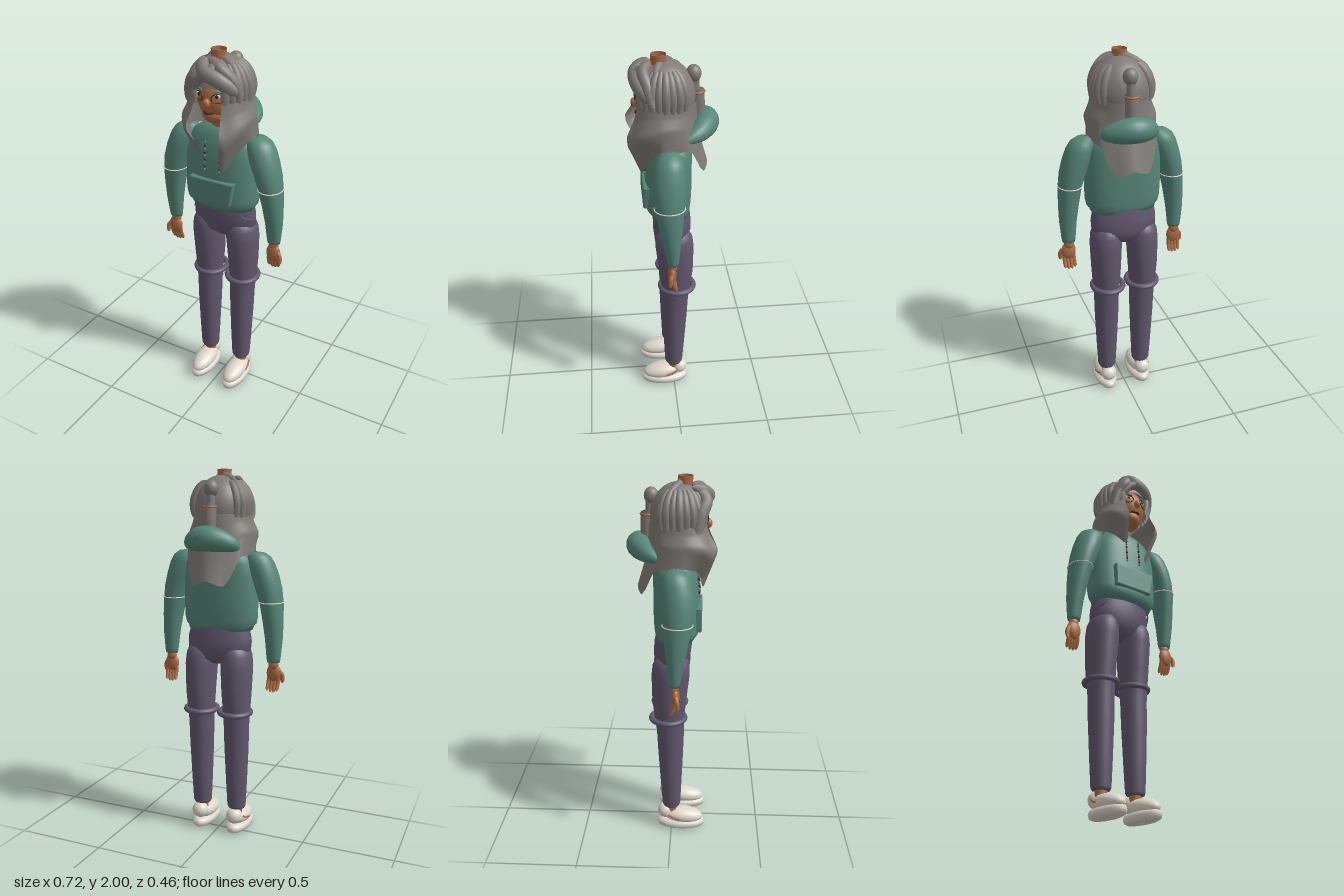
import * as THREE from 'three';

const mat = (name, color) => {
  const m = new THREE.MeshStandardMaterial({ color, side: THREE.DoubleSide });
  m.name = name;
  return m;
};
const V = (p) => new THREE.Vector3(...p);

// Piecewise-linear lookup in [[t, value], ...]
function ramp(pts, t) {
  for (let i = 1; i < pts.length; i++) {
    const [a, va] = pts[i - 1], [b, vb] = pts[i];
    if (t <= b) return va + (vb - va) * Math.max(0, (t - a) / (b - a));
  }
  return pts[pts.length - 1][1];
}

// Indexed surface from a grid of points; wrap joins the last column to the first
function gridGeometry(rows, cols, point, wrap) {
  const pos = [], index = [];
  for (let i = 0; i < rows; i++) for (let j = 0; j < cols; j++) pos.push(...point(i, j));
  for (let i = 0; i < rows - 1; i++) {
    for (let j = 0; j < (wrap ? cols : cols - 1); j++) {
      const a = i * cols + j, b = i * cols + (j + 1) % cols;
      index.push(a, b, a + cols, b, b + cols, a + cols);
    }
  }
  const g = new THREE.BufferGeometry();
  g.setAttribute('position', new THREE.Float32BufferAttribute(pos, 3));
  g.setIndex(index);
  g.computeVertexNormals();
  return g;
}

// Stack of level elliptical rings [x, y, z, rx, rz], listed from top to bottom
function loft(rings, power = 2, n = 32) {
  const bend = (v) => Math.sign(v) * Math.abs(v) ** (2 / power);
  return gridGeometry(rings.length, n, (i, j) => {
    const [x, y, z, rx, rz] = rings[i], a = (j / n) * Math.PI * 2;
    return [x + rx * bend(Math.cos(a)), y, z + rz * bend(Math.sin(a))];
  }, true);
}

// Tube along a curve whose radius follows a function
function strand(points, radius, n = 16, sides = 10) {
  const curve = new THREE.CatmullRomCurve3(points.map(V));
  const g = new THREE.TubeGeometry(curve, n, 1, sides);
  const p = g.attributes.position, v = new THREE.Vector3();
  for (let i = 0; i <= n; i++) {
    const c = curve.getPointAt(i / n), r = radius(i / n);
    for (let j = 0; j <= sides; j++) {
      const k = i * (sides + 1) + j;
      v.fromBufferAttribute(p, k).sub(c).multiplyScalar(r).add(c);
      p.setXYZ(k, v.x, v.y, v.z);
    }
  }
  return g;
}
const ball = (c, r, tilt = 0) =>
  new THREE.SphereGeometry(1, 28, 20).scale(...r).rotateX(tilt).translate(...c);
const band = (c, rx, rz, tube) =>
  new THREE.TorusGeometry(1, tube / rx, 10, 40).rotateX(Math.PI / 2).scale(rx, rx, rz).translate(...c);
const taper = (r) => (t) => r * Math.sqrt(Math.max(0, 1 - (2 * t - 1) ** 4));

export function createModel() {
  const green = mat('hoodieGreen', 0x568679), purple = mat('trouserPurple', 0x62586e);
  const grey = mat('hairGrey', 0x807b77), skin = mat('skinBrown', 0xac6b43);
  const cream = mat('shoeCream', 0xddd6cb), dark = mat('darkBrown', 0x3a2a26);
  const model = new THREE.Group();
  const add = (name, geometry, material) => {
    const m = new THREE.Mesh(geometry, material);
    m.name = name;
    model.add(m);
    return m;
  };

  // Hoodie body, pocket, drawstrings and hood
  add('hoodieBody', loft([
    [0, 1.62, 0.01, 0.06, 0.05], [0, 1.61, 0.01, 0.09, 0.075], [0, 1.59, 0.01, 0.13, 0.092],
    [0, 1.565, 0.01, 0.165, 0.104], [0, 1.52, 0.015, 0.188, 0.113], [0, 1.45, 0.02, 0.2, 0.118],
    [0, 1.33, 0.022, 0.205, 0.121], [0, 1.23, 0.025, 0.203, 0.12], [0, 1.195, 0.025, 0.195, 0.116],
    [0, 1.185, 0.022, 0.183, 0.108], [0, 1.165, 0.02, 0.178, 0.102], [0, 1.163, 0.02, 0.03, 0.02],
  ], 2.4, 48), green);
  const pocket = new THREE.Shape([[-0.11, 1.23], [0.1, 1.23], [0.12, 1.34], [-0.115, 1.34]]
    .map(([x, y]) => new THREE.Vector2(x, y)));
  add('frontPocket', new THREE.ExtrudeGeometry(pocket, {
    depth: 0.035, bevelSize: 0.008, bevelThickness: 0.008, bevelSegments: 3,
  }).translate(0, 0, 0.115), green);
  for (const s of [-1, 1]) {
    for (let i = 0; i < 9; i++) {
      add('drawstringKnot', ball([s * 0.042, 1.54 - i * 0.018, 0.134 + i * 0.0012], [0.005, 0.008, 0.006]), i % 2 ? dark : green);
    }
  }
  add('hood', strand([[0.135, 1.59, -0.03], [0.1, 1.63, -0.12], [0, 1.655, -0.17], [-0.1, 1.63, -0.12], [-0.135, 1.59, -0.03]],
    (t) => 0.004 + 0.061 * Math.sin(Math.PI * t), 32, 20), green);

  // Hips
  add('hips', loft([
    [0, 1.19, 0.01, 0.165, 0.095], [0, 1.12, 0.005, 0.18, 0.102], [0, 1.06, 0, 0.18, 0.1],
    [0, 1.01, 0, 0.14, 0.085], [0, 0.98, 0, 0.06, 0.05], [0, 0.97, 0, 0.005, 0.005],
  ]), purple);

  for (const s of [-1, 1]) {
    const mirror = (list) => list.map(([x, ...rest]) => [s * x, ...rest]);

    // Sleeve with a thin seam band
    add('sleeve', loft(mirror([
      [0.195, 1.583, 0.025, 0.005, 0.005], [0.2, 1.577, 0.025, 0.045, 0.04], [0.21, 1.555, 0.028, 0.065, 0.063],
      [0.222, 1.52, 0.031, 0.074, 0.076], [0.242, 1.46, 0.036, 0.075, 0.083], [0.265, 1.39, 0.038, 0.07, 0.081],
      [0.283, 1.31, 0.037, 0.062, 0.073], [0.294, 1.22, 0.032, 0.055, 0.06], [0.302, 1.12, 0.027, 0.047, 0.045],
      [0.303, 1.02, 0.023, 0.038, 0.031], [0.303, 1.0, 0.022, 0.034, 0.027], [0.303, 0.995, 0.022, 0.01, 0.01],
    ])), green);
    add('sleeveSeam', band([s * 0.281, 1.32, 0.037], 0.064, 0.076, 0.003), cream);

    // Hand
    add('palm', ball([s * 0.305, 0.94, 0.028], [0.04, 0.052, 0.022]), skin);
    add('wrist', ball([s * 0.303, 0.985, 0.023], [0.027, 0.03, 0.022]), skin);
    for (let i = 0; i < 4; i++) {
      const x = 0.278 + i * 0.018, tip = 0.85 - Math.sin((i + 0.5) * 0.8) * 0.015;
      add('finger', strand(mirror([[x, 0.93, 0.028], [x - 0.001, 0.89, 0.022], [x - 0.003, tip, 0.004]]), taper(0.0105)), skin);
    }
    add('thumb', strand(mirror([[0.325, 0.96, 0.03], [0.347, 0.93, 0.038], [0.349, 0.885, 0.042]]), taper(0.012)), skin);

    // Trouser leg with knee ring
    add('trouserLeg', loft(mirror([
      [0.1, 1.092, 0, 0.004, 0.004], [0.1, 1.085, 0, 0.045, 0.055], [0.1, 1.065, 0, 0.07, 0.084],
      [0.102, 1.03, -0.002, 0.083, 0.098], [0.104, 0.97, -0.005, 0.087, 0.102], [0.106, 0.82, -0.012, 0.081, 0.092],
      [0.106, 0.71, -0.011, 0.074, 0.08], [0.105, 0.64, -0.008, 0.07, 0.073], [0.105, 0.5, -0.005, 0.067, 0.069],
      [0.105, 0.3, -0.002, 0.059, 0.059], [0.105, 0.155, 0, 0.052, 0.051], [0.105, 0.142, 0, 0.046, 0.045],
      [0.105, 0.138, 0, 0.02, 0.02],
    ])), purple);
    add('kneeRing', band([s * 0.1, 0.71, -0.018], 0.084, 0.09, 0.015), purple);
    add('pocketSeam', strand(mirror([[0.125, 1.165, 0.085], [0.145, 1.13, 0.077], [0.178, 1.1, 0.02]]), () => 0.004), purple);

    // Shoe
    add('ankle', new THREE.CylinderGeometry(0.032, 0.032, 0.07, 20).translate(s * 0.105, 0.115, 0), skin);
    add('shoeSole', loft([
      [s * 0.105, 0.052, 0.055, 0.04, 0.11], [s * 0.105, 0.045, 0.055, 0.06, 0.13], [s * 0.105, 0.028, 0.055, 0.065, 0.136],
      [s * 0.105, 0.01, 0.055, 0.06, 0.13], [s * 0.105, 0.001, 0.055, 0.045, 0.11], [s * 0.105, 0, 0.055, 0.002, 0.005],
    ]), cream);
    add('shoeUpper', ball([s * 0.105, 0.073, 0.065], [0.058, 0.046, 0.117], 0.1), cream);
    add('shoeHeel', ball([s * 0.105, 0.1, -0.035], [0.046, 0.045, 0.044]), cream);
    add('shoeTrim', strand(mirror([[0.154, 0.095, -0.015], [0.16, 0.08, 0.015], [0.163, 0.07, 0.05]]), () => 0.005), skin);
  }

  // Head and face
  add('neck', new THREE.CylinderGeometry(0.055, 0.06, 0.16, 24).translate(0, 1.63, 0.025), skin);
  add('head', ball([0, 1.775, 0.06], [0.103, 0.13, 0.122]), skin);
  add('jaw', ball([0, 1.695, 0.09], [0.068, 0.055, 0.078]), skin);
  add('nose', ball([0, 1.765, 0.182], [0.018, 0.024, 0.02]), skin);
  add('mouth', strand([[-0.03, 1.716, 0.162], [0, 1.712, 0.178], [0.03, 1.716, 0.162]], taper(0.006)), dark);
  for (const s of [-1, 1]) {
    add('eyelid', strand([[s * 0.025, 1.82, 0.176], [s * 0.05, 1.825, 0.162], [s * 0.078, 1.815, 0.137]], taper(0.006)), green);
    add('eye', ball([s * 0.048, 1.802, 0.163], [0.02, 0.011, 0.008]), cream);
    add('pupil', ball([s * 0.048, 1.802, 0.17], [0.009, 0.009, 0.004]), dark);
    const rim = add('glassesRim', new THREE.TorusGeometry(0.03, 0.003, 8, 28), dark);
    rim.scale.y = 0.75;
    rim.position.set(s * 0.05, 1.792, 0.167);
    rim.rotation.y = s * 0.5;
  }

  // Hair cap, tilted back to leave the face open
  const capCentre = [0, 1.8, 0.035], capRadius = [0.152, 0.17, 0.15];
  add('hairCap', new THREE.SphereGeometry(1, 40, 28, 0, Math.PI * 2, 0, Math.PI * 0.58)
    .rotateX(-0.5).scale(...capRadius).translate(...capCentre), grey);

  // Side locks running down the cap
  const onCap = (side, azimuth, polar, lift) => [
    side * capRadius[0] * lift * Math.sin(polar) * Math.cos(azimuth),
    capCentre[1] + capRadius[1] * lift * Math.cos(polar),
    capCentre[2] + capRadius[2] * lift * Math.sin(polar) * Math.sin(azimuth),
  ];
  for (const s of [-1, 1]) {
    for (let i = 0; i < 8; i++) {
      const az = -0.65 + i * 0.23;
      const path = [0.55, 0.95, 1.35, 1.9].map((p) => onCap(s, az, p, 0.99));
      add('sideLock', strand(path, taper(0.02 + 0.003 * (i % 2))), grey);
    }
  }

  // Swept fringe and crown braid
  const fringe = [
    [[[-0.06, 1.955, 0.1], [-0.02, 1.915, 0.168], [0.06, 1.88, 0.165], [0.135, 1.81, 0.11]], 0.038],
    [[[-0.03, 1.955, 0.1], [0.05, 1.93, 0.14], [0.11, 1.87, 0.12], [0.14, 1.78, 0.1]], 0.03],
    [[[-0.03, 1.955, 0.11], [-0.07, 1.89, 0.165], [-0.105, 1.83, 0.145], [-0.125, 1.73, 0.125]], 0.034],
    [[[0.04, 1.95, 0.11], [0, 1.91, 0.172], [-0.06, 1.865, 0.165], [-0.1, 1.8, 0.145]], 0.028],
    [[[-0.1, 1.93, -0.01], [-0.01, 1.965, 0.045], [0.09, 1.93, 0.09]], 0.02],
  ];
  fringe.forEach(([path, r], i) => add(i < 4 ? 'fringeLock' : 'crownBraid', strand(path, taper(r), 24, 14), grey));

  // Long loose hair: open at the front, with two pointed locks and a back tail
  const reach = 2.62, rows = 22, cols = 65;
  add('looseHair', gridGeometry(rows, cols, (i, j) => {
    const t = i / (rows - 1), a = reach * (2 * j / (cols - 1) - 1), s = Math.abs(a) / reach;
    const c = -Math.cos(a), front = Math.max(0, c);
    const hem = ramp([[0, 1.44], [0.18, 1.41], [0.25, 1.45], [0.36, 1.56], [0.62, 1.575], [0.8, a > 0 ? 1.5 : 1.55],
      [0.95, a > 0 ? 1.4 : 1.49], [1, a > 0 ? 1.43 : 1.52]], s);
    const rx = ramp([[0, 0.152], [0.2, 0.16], [0.45, 0.183], [1, 0.183]], t) - front * ramp([[0, 0], [0.55, 0], [1, 0.085]], t);
    const rz = c > 0 ? ramp([[0, 0.125], [0.2, 0.15], [0.45, 0.195], [0.6, 0.19], [1, 0.125]], t)
      : ramp([[0, 0.18], [0.5, 0.19], [1, 0.24]], t);
    return [rx * Math.sin(a), 1.775 + (hem - 1.775) * t, 0.06 + c * rz];
  }, false), grey);

  // Tied tail and bun at the back, and the hair ties
  add('tiedTail', strand([[0, 1.63, -0.125], [0, 1.74, -0.128], [0, 1.835, -0.122]], (t) => 0.034 * Math.min(1, (1 - t) * 12), 24, 18), grey);
  add('tailTie', band([0, 1.81, -0.124], 0.034, 0.034, 0.006), skin);
  add('bun', ball([0, 1.9, -0.105], [0.038, 0.043, 0.037]), grey);
  add('bunNeck', new THREE.CylinderGeometry(0.02, 0.024, 0.08, 16).translate(0, 1.85, -0.112), grey);
  add('crownTie', new THREE.CylinderGeometry(0.038, 0.036, 0.045, 28, 1, true).translate(0, 1.9775, 0.065), skin);

  return model;
}
